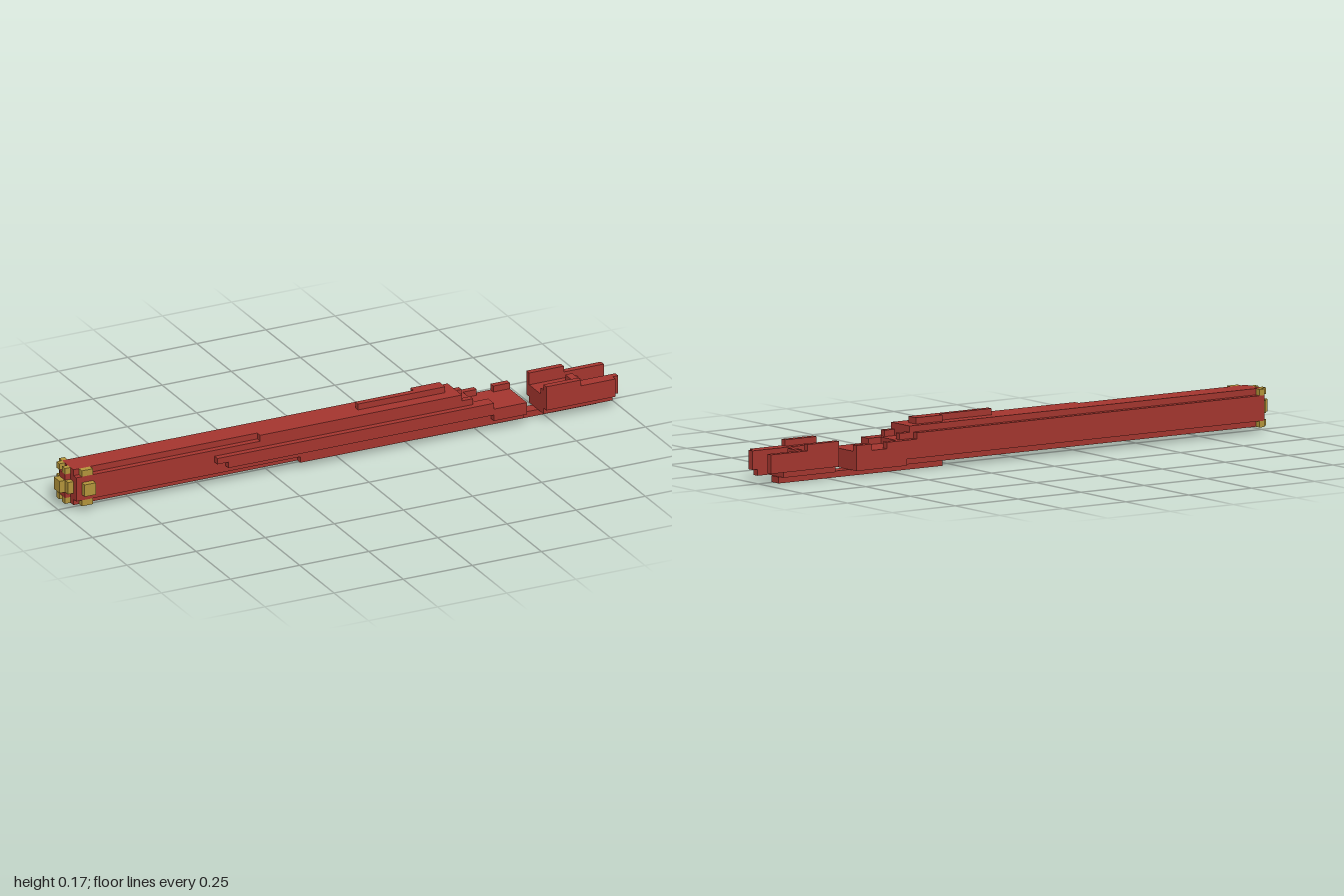
import * as THREE from 'three';

const U = 2 / 96; // one cell of the blocky grid

export function createModel() {
  const group = new THREE.Group();
  const red = new THREE.MeshStandardMaterial({ color: 0xa3352e });
  red.name = 'red';
  const gold = new THREE.MeshStandardMaterial({ color: 0xb2933a });
  gold.name = 'gold';

  // x in units; y and z in grid cells (y 0..8, z 0 = back .. 7 = front)
  const block = (name, mat, x0, x1, y0, y1, z0, z1) => {
    const mesh = new THREE.Mesh(
      new THREE.BoxGeometry(x1 - x0, (y1 - y0) * U, (z1 - z0) * U), mat);
    mesh.position.set((x0 + x1) / 2, (y0 + y1) / 2 * U, ((z0 + z1) / 2 - 3.5) * U);
    mesh.name = name;
    group.add(mesh);
  };

  // Long eight-sided shaft, widening toward the tail
  [
    ['shaftCore', -0.96, 0.42, 2, 6, 0, 6],
    ['shaftTop', -0.96, 0.435, 6, 7, 1, 5],
    ['shaftTopFront', -0.295, 0.435, 6, 7, 5, 6],
    ['shaftBottom', -0.96, 0.66, 1, 2, 1, 5],
    ['shaftBottomFront', -0.15, 0.66, 1, 2, 5, 6],
    ['shaftBottomBack', 0.46, 0.66, 1, 2, 0, 1],
    ['frontStripUpper', -0.46, 0.54, 4, 5, 6, 7],
    ['frontStripLower', -0.42, 0.66, 3, 4, 6, 7],
    ['frontStripEnd', 0.54, 0.66, 2, 3, 6, 7],
    ['topRidgeNarrow', 0.08, 0.29, 7, 8, 3, 4],
    ['topRidgeWide', 0.29, 0.395, 7, 8, 2, 4],
    ['bottomRidge', 0.29, 0.94, 0, 1, 2, 4],
  ].forEach(([name, ...b]) => block(name, red, ...b));

  // Stepped cradle at the end of the shaft
  [
    ['cradleFloor', 0.42, 0.66, 2, 4, 0, 6],
    ['cradleStep', 0.42, 0.49, 4, 5, 1, 6],
    ['cradleStepBack', 0.42, 0.54, 4, 5, 0, 1],
    ['cradleStepFront', 0.42, 0.54, 4, 5, 5, 6],
    ['cradleShoulder', 0.42, 0.435, 5, 6, 1, 6],
    ['cradleShoulderBack', 0.42, 0.475, 5, 6, 1, 2],
    ['cradleShoulderFront', 0.42, 0.475, 5, 6, 5, 6],
    ['cradlePost', 0.60, 0.66, 4, 5, 0, 1],
  ].forEach(([name, ...b]) => block(name, red, ...b));

  // Tail block with side walls and forked end
  [
    ['tailFloor', 0.73, 0.9, 1, 4, 1, 5],
    ['tailFloorEnd', 0.9, 0.935, 1, 3, 1, 5],
    ['tailBackWall', 0.73, 1.0, 2, 5, 0, 1],
    ['tailBackWallTop', 0.73, 0.855, 5, 6, 0, 1],
    ['tailFrontWallInner', 0.73, 1.0, 2, 5, 5, 6],
    ['tailFrontWallFoot', 0.73, 0.98, 1, 2, 5, 6],
    ['tailFrontWall', 0.73, 0.98, 2, 5, 6, 7],
    ['tailFrontWallTop', 0.73, 0.855, 5, 6, 6, 7],
    ['tailStud', 0.85, 0.875, 4, 5, 2, 4],
  ].forEach(([name, ...b]) => block(name, red, ...b));

  // Capped end with gold fittings
  block('endCap', red, -0.98, -0.96, 2, 6, 2, 4);
  block('endBoss', gold, -1.0, -0.98, 3, 5, 2, 4);
  for (const y of [1, 6]) {
    block('cornerFitting', gold, -0.94, -0.9, y, y + 1, 5, 6);
    block('cornerFitting', gold, -0.96, -0.94, y, y + 1, 0, 1);
    block('endFitting', gold, -0.98, -0.96, y, y + 1, 1, 2);
    block('endFitting', gold, -0.98, -0.96, y, y + 1, 3, 4);
  }
  block('frontFitting', gold, -0.94, -0.9, 3, 5, 6, 7);
  block('endFitting', gold, -0.98, -0.96, 3, 5, 1, 2);
  block('endFitting', gold, -0.98, -0.96, 3, 5, 4, 5);

  return group;
}
